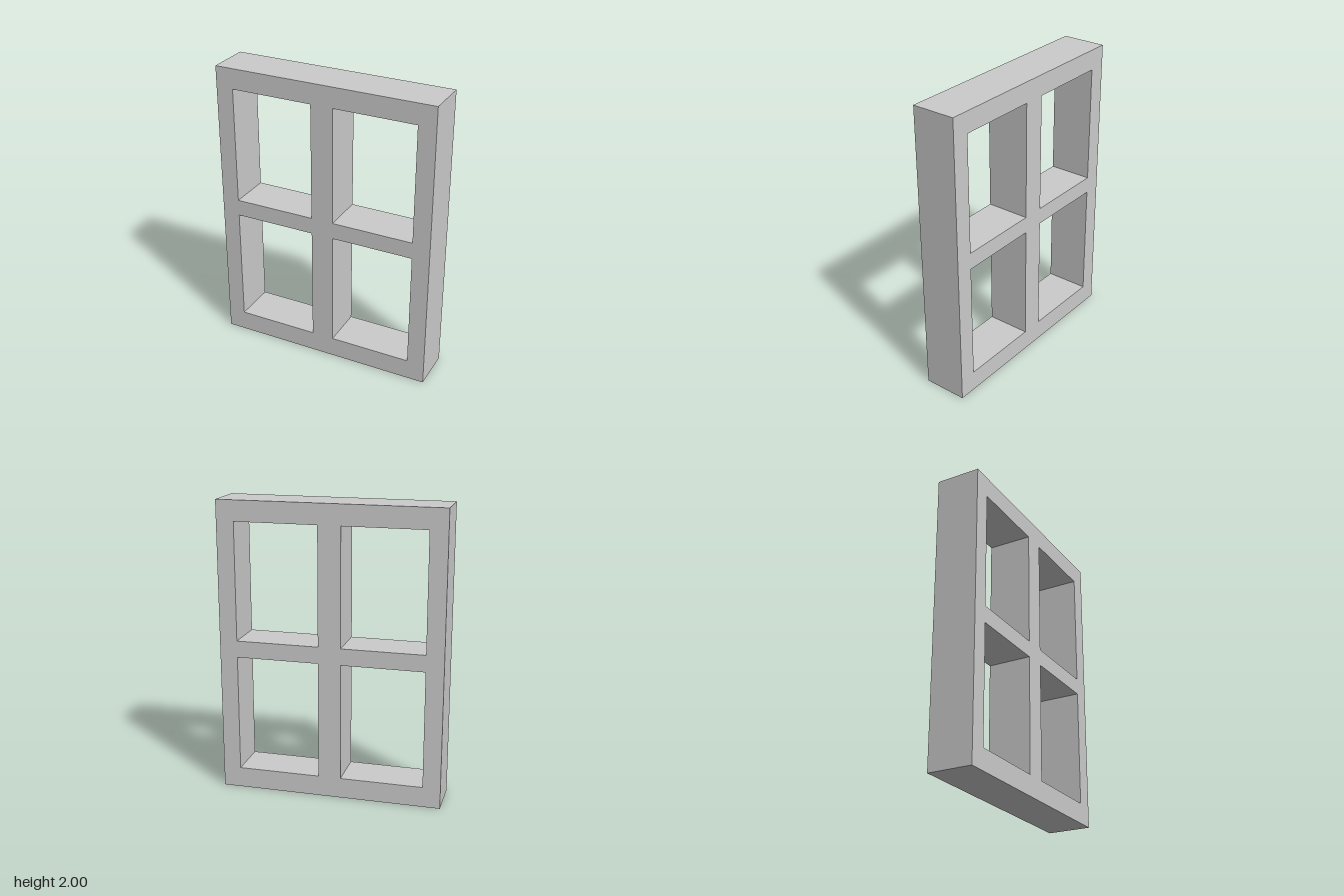
import * as THREE from 'three';

const HALF_WIDTH = 0.76, HEIGHT = 2, DEPTH = 0.3;

// Trace a rectangle onto a Shape or Path
function rect(path, x0, y0, x1, y1) {
  path.moveTo(x0, y0);
  path.lineTo(x1, y0);
  path.lineTo(x1, y1);
  path.lineTo(x0, y1);
  path.closePath();
  return path;
}

export function createModel() {
  const group = new THREE.Group();
  group.name = 'window';

  // Outer frame outline
  const outline = rect(new THREE.Shape(), -HALF_WIDTH, 0, HALF_WIDTH, HEIGHT);

  // Four pane openings, leaving the mullion and crossbar between them
  for (const [x0, x1] of [[-0.64, -0.077], [0.077, 0.64]]) {
    for (const [y0, y1] of [[0.14, 0.943], [1.057, 1.86]]) {
      outline.holes.push(rect(new THREE.Path(), x0, y0, x1, y1));
    }
  }

  const geometry = new THREE.ExtrudeGeometry(outline, { depth: DEPTH, bevelEnabled: false });
  geometry.translate(0, 0, -DEPTH / 2);

  const frame = new THREE.Mesh(
    geometry,
    new THREE.MeshStandardMaterial({ color: 0xcccccc, flatShading: true })
  );
  frame.name = 'windowFrame';
  group.add(frame);
  return group;
}
